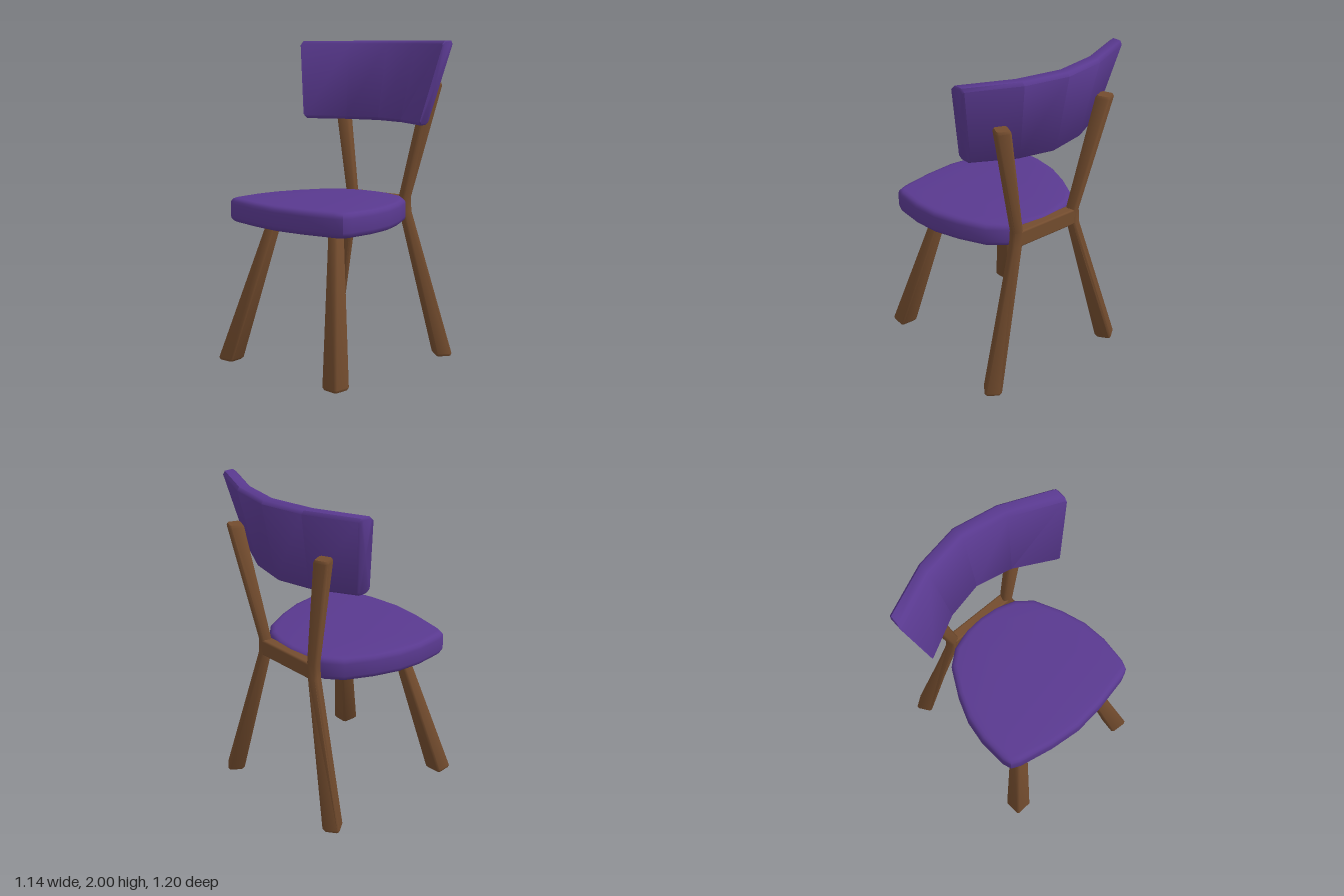
import * as THREE from 'three';
import { toCreasedNormals } from 'three/addons/utils/BufferGeometryUtils.js';
import { RoundedBoxGeometry } from 'three/addons/geometries/RoundedBoxGeometry.js';

const V = (x, y, z) => new THREE.Vector3(x, y, z);
const centre = (ring) => ring.reduce((sum, p) => sum.add(p), V(0, 0, 0)).divideScalar(ring.length);

// Cuts each corner of a four-sided ring to give a small bevel
function bevelRing(quad, d) {
  return quad.flatMap((p, i) => [quad[(i + 3) % 4], quad[(i + 1) % 4]].map(
    (q) => p.clone().addScaledVector(q.clone().sub(p).normalize(), d)));
}

// Shrinks a ring toward its middle, for the bevel at the ends of a loft
function shrink(ring, k) {
  const c = centre(ring);
  return ring.map((p) => p.clone().lerp(c, k));
}

// Skins a closed solid over a row of rings and caps both ends
function loft(rings, crease = 0.9) {
  const pos = [];
  const tri = (...points) => points.forEach((p) => pos.push(p.x, p.y, p.z));
  const n = rings[0].length;
  const first = rings[0], last = rings[rings.length - 1];
  for (let j = 0; j < n; j++) {
    const k = (j + 1) % n;
    for (let i = 0; i < rings.length - 1; i++) {
      const a = rings[i], b = rings[i + 1];
      tri(a[j], b[j], b[k]);
      tri(a[j], b[k], a[k]);
    }
    tri(centre(first), first[j], first[k]);
    tri(centre(last), last[k], last[j]);
  }
  const geometry = new THREE.BufferGeometry();
  geometry.setAttribute('position', new THREE.Float32BufferAttribute(pos, 3));
  return toCreasedNormals(geometry, crease);
}

// Square section of a leg, turned about the vertical
function legRing({ x, y, z, size, turn }) {
  const quad = [0, 1, 2, 3].map((i) => {
    const a = turn + Math.PI / 4 + i * Math.PI / 2;
    return V(x + size * Math.SQRT1_2 * Math.cos(a), y, z + size * Math.SQRT1_2 * Math.sin(a));
  });
  return bevelRing(quad, 0.012);
}

// Tapered leg through [x, y, z, size, turn] sections; side is 1 or -1
function legGeometry(sections, side) {
  const rings = sections.map(([x, y, z, size, turn]) =>
    legRing({ x, y, z: z * side, size, turn: turn * side }));
  const last = rings.length - 1;
  rings[0] = shrink(rings[0], 0.15);
  rings[last] = shrink(rings[last], 0.15);
  return loft(rings);
}

function seatGeometry() {
  // Half outline from front middle to back middle, as [x, z]
  const half = [
    [-0.565, 0], [-0.545, 0.2], [-0.5, 0.42], [-0.475, 0.475], [-0.42, 0.495],
    [-0.24, 0.507], [-0.08, 0.488], [0.08, 0.432], [0.25, 0.345], [0.33, 0.25],
    [0.375, 0.12], [0.385, 0],
  ];
  const mirrored = half.slice(1, -1).reverse().map(([x, z]) => [x, -z]);
  const shape = new THREE.Shape([...half, ...mirrored].map(([x, z]) => new THREE.Vector2(x, z)));
  const b = 0.035;
  const geometry = new THREE.ExtrudeGeometry(shape, {
    depth: 0.15 - 2 * b, bevelEnabled: true, bevelThickness: b,
    bevelSize: b, bevelOffset: -b, bevelSegments: 3,
  });
  geometry.rotateX(-Math.PI / 2).translate(0, 0.88 + b, 0);
  return toCreasedNormals(geometry, 0.7);
}

function backrestGeometry() {
  // Each station is [position across the width, x of the outer top edge]
  const stations = [[-1, 0.38], [-0.985, 0.387], [-0.47, 0.52], [0, 0.57],
    [0.47, 0.52], [0.985, 0.387], [1, 0.38]];
  const rings = stations.map(([t, x]) => bevelRing([
    V(x, 2, 0.6 * t), V(x - 0.1, 1.49, 0.485 * t),
    V(x - 0.19, 1.49, 0.485 * t), V(x - 0.1, 2, 0.6 * t),
  ], 0.02));
  const last = rings.length - 1;
  rings[0] = shrink(rings[0], 0.04);
  rings[last] = shrink(rings[last], 0.04);
  return loft(rings);
}

export function createModel() {
  const model = new THREE.Group();
  model.name = 'chair';

  const upholstery = new THREE.MeshStandardMaterial({ color: 0x59398f });
  upholstery.name = 'purple upholstery';
  const wood = new THREE.MeshStandardMaterial({ color: 0x734c2e });
  wood.name = 'brown wood';

  const add = (name, geometry, material) => {
    const mesh = new THREE.Mesh(geometry, material);
    mesh.name = name;
    model.add(mesh);
    return mesh;
  };

  add('seat', seatGeometry(), upholstery);
  add('backrest', backrestGeometry(), upholstery);

  // Splayed front legs, and back legs that run on up to the backrest
  const frontLeg = [
    [-0.513, 0, 0.452, 0.12, 0.06], [-0.51, 0.015, 0.449, 0.12, 0.06],
    [-0.3, 0.89, 0.26, 0.075, 0.06], [-0.295, 0.91, 0.255, 0.075, 0.06],
  ];
  const backLeg = [
    [0.472, 0, 0.478, 0.107, 0.62], [0.471, 0.015, 0.475, 0.107, 0.62],
    [0.389, 0.92, 0.23, 0.066, 0.3], [0.389, 1.01, 0.225, 0.066, 0.3],
    [0.457, 1.725, 0.39, 0.09, 0.4], [0.458, 1.74, 0.392, 0.09, 0.4],
  ];
  for (const side of [1, -1]) {
    const label = side > 0 ? 'left' : 'right';
    add(`${label}FrontLeg`, legGeometry(frontLeg, side), wood);
    add(`${label}BackLeg`, legGeometry(backLeg, side), wood);
  }

  // Rail joining the back legs behind the seat
  const rail = add('backRail', new RoundedBoxGeometry(0.07, 0.105, 0.45, 2, 0.012), wood);
  rail.position.set(0.39, 0.965, 0);

  return model;
}
